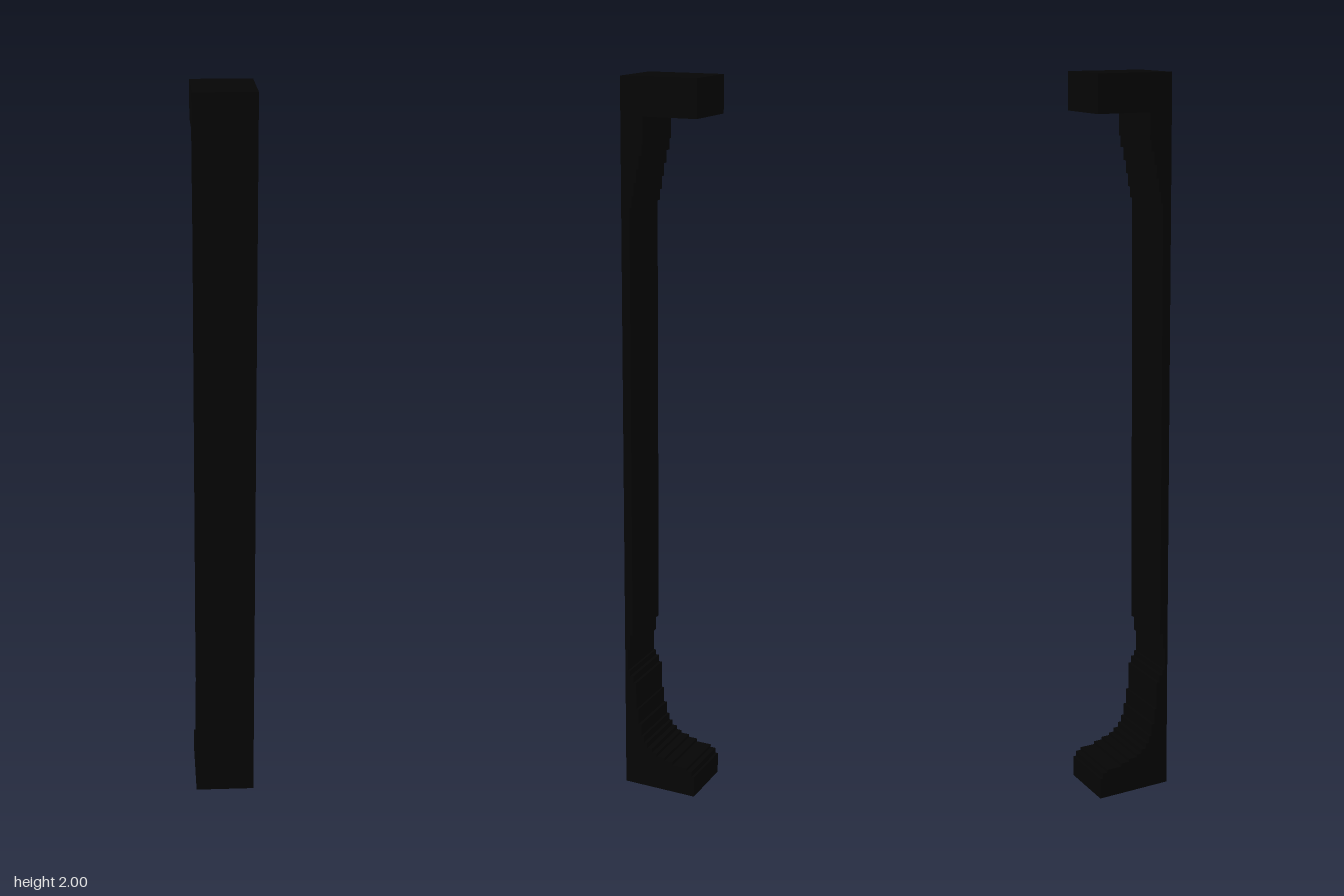
import * as THREE from 'three';

const WIDTH = 0.165, FRONT = 0.108, BACK = -0.108;

// Extrudes a side outline of [z, y] points across the full width
function extrudeSide(points, material, name) {
  const shape = new THREE.Shape(points.map(([z, y]) => new THREE.Vector2(z, y)));
  const geometry = new THREE.ExtrudeGeometry(shape, { depth: WIDTH, bevelEnabled: false });
  geometry.rotateY(-Math.PI / 2);
  geometry.translate(WIDTH / 2, 0, 0);
  const mesh = new THREE.Mesh(geometry, material);
  mesh.name = name;
  return mesh;
}

export function createModel() {
  const black = new THREE.MeshStandardMaterial({ color: 0x050505 });
  black.name = 'black';
  const group = new THREE.Group();
  group.name = 'bracketPost';

  // Worn back surface as terraces: [z of the back face, y where the terrace ends]
  const terraces = [
    [BACK, 0.06], [-0.1, 0.075], [-0.085, 0.083], [-0.04, 0.092], [-0.015, 0.1],
    [0.01, 0.108], [0.025, 0.12], [0.04, 0.135], [0.05, 0.155], [0.058, 0.19],
    [0.067, 0.235], [0.074, 0.315], [0.083, 0.335], [0.093, 0.35], [0.1, 0.415],
    [0.093, 0.46], [0.084, 1.665], [0.077, 1.695], [0.071, 1.73], [0.064, 1.765],
    [0.057, 1.8], [0.048, 1.83], [0.044, 1.9], [BACK, 2],
  ];
  const outline = [[FRONT, 2], [FRONT, 0]];
  let y = 0;
  for (const [z, top] of terraces) {
    outline.push([z, y], [z, top]);
    y = top;
  }

  // Foot, thin post, flared neck and top block share one continuous outline
  group.add(extrudeSide(outline, black, 'post'));
  return group;
}
